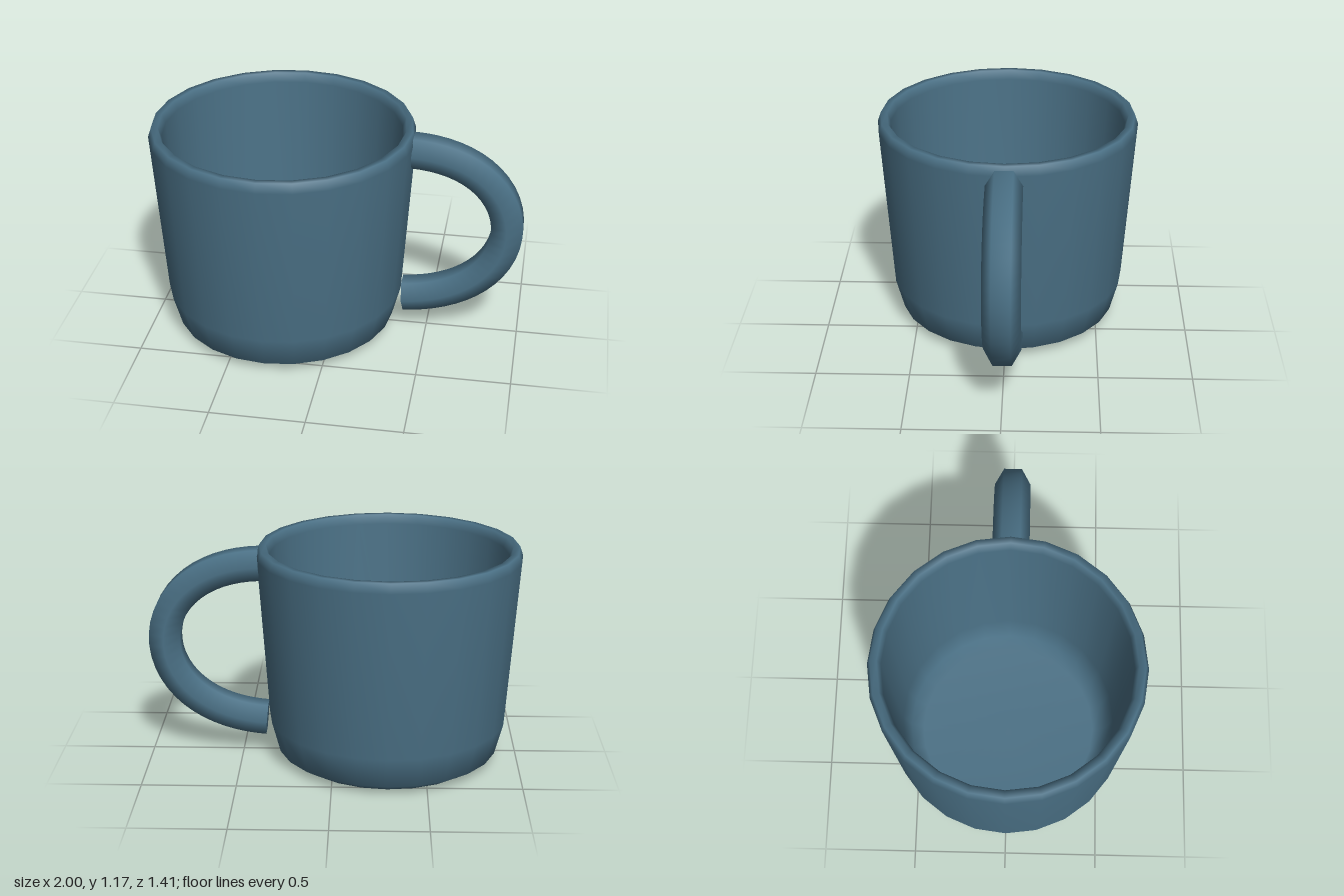
import * as THREE from 'three';

export function createModel() {
  const group = new THREE.Group();
  const material = new THREE.MeshStandardMaterial({ color: 0x4a7085, side: THREE.DoubleSide });

  // Cup: outer wall upward, over the rim, inner wall down to the floor
  const profile = [
    [0, 0], [0.52, 0], [0.6, 0.05], [0.645, 0.22], [0.707, 1.125], [0.69, 1.175],
    [0.655, 1.175], [0.637, 1.125], [0.585, 0.25], [0.545, 0.11], [0.48, 0.07], [0, 0.07],
  ].map(([r, y]) => new THREE.Vector2(r, y));
  const cup = new THREE.Mesh(new THREE.LatheGeometry(profile, 24), material);
  cup.name = 'cup';
  cup.position.x = -0.293;
  group.add(cup);

  // Handle: six-sided tube along a D-shaped curve
  const handle = new THREE.Group();
  handle.name = 'handle';
  const radius = 0.097;
  const path = new THREE.CubicBezierCurve3(
    new THREE.Vector3(0.4, 1.07, 0), new THREE.Vector3(1.092, 1.045, 0),
    new THREE.Vector3(1.092, 0.245, 0), new THREE.Vector3(0.365, 0.19, 0));
  const grip = new THREE.Mesh(new THREE.TubeGeometry(path, 28, radius, 6), material);
  grip.name = 'handleGrip';
  handle.add(grip);

  // Flat caps closing both ends of the handle
  for (const t of [0, 1]) {
    const cap = new THREE.Mesh(new THREE.CircleGeometry(radius, 6), material);
    cap.name = t ? 'lowerHandleCap' : 'upperHandleCap';
    const out = path.getTangent(t).multiplyScalar(t ? 1 : -1);
    const across = new THREE.Vector3(0, 0, 1);
    const up = new THREE.Vector3().crossVectors(out, across);
    cap.quaternion.setFromRotationMatrix(new THREE.Matrix4().makeBasis(across, up, out));
    cap.position.copy(path.getPoint(t));
    handle.add(cap);
  }
  group.add(handle);

  return group;
}
